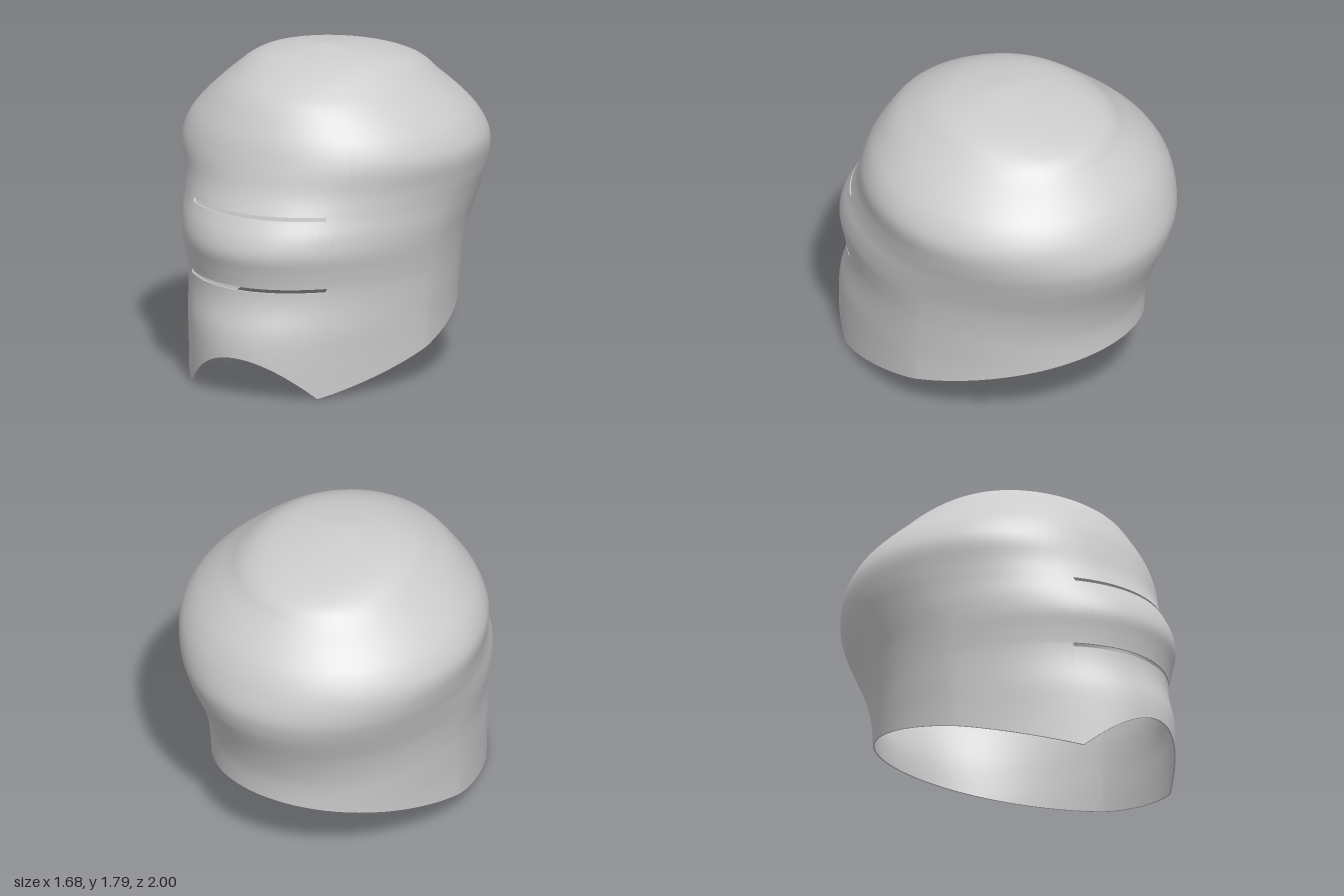
import * as THREE from 'three';

const WALL = 0.01;
// Cross-sections from crown to hem: y, half width, front z, back z, front taper
const SECTIONS = [
  [1.79, 0, 0, 0, 1],
  [1.77, 0.2, 0.17, -0.17, 1],
  [1.745, 0.335, 0.3, -0.315, 1],
  [1.705, 0.436, 0.415, -0.48, 1],
  [1.65, 0.51, 0.52, -0.62, 1],
  [1.58, 0.59, 0.61, -0.695, 1],
  [1.48, 0.7, 0.68, -0.805, 1],
  [1.38, 0.787, 0.735, -0.895, 1],
  [1.26, 0.838, 0.778, -0.96, 1.03],
  [1.12, 0.818, 0.823, -1, 1.1],
  [1.0, 0.79, 0.885, -0.98, 1.14],
  [0.9, 0.77, 0.943, -0.94, 1.16],
  [0.8, 0.75, 0.97, -0.895, 1.18],
  [0.7, 0.733, 0.948, -0.857, 1.2],
  [0.6, 0.72, 0.93, -0.83, 1.22],
  [0.5, 0.712, 0.942, -0.82, 1.26],
  [0.36, 0.703, 0.985, -0.82, 1.33],
  [0.23, 0.7, 1, -0.82, 1.4],
  [0, 0.7, 1, -0.82, 1.44],
];
// Eye and mouth slits: top, bottom, half width
const SLITS = [[1.019, 0.998, 0.42], [0.618, 0.597, 0.43]];
const CORNER_Z = 0.775;

// Smooth interpolation of the cross-sections at a height
function sectionAt(y) {
  const last = SECTIONS.length - 1;
  let k = 0;
  while (k < last - 1 && SECTIONS[k + 1][0] > y) k++;
  const slope = (i, c) => {
    const a = SECTIONS[Math.max(i - 1, 0)], b = SECTIONS[Math.min(i + 1, last)];
    return (b[c] - a[c]) / (b[0] - a[0]);
  };
  const A = SECTIONS[k], B = SECTIONS[k + 1], h = B[0] - A[0];
  const t = (y - A[0]) / h, t2 = t * t, t3 = t2 * t;
  return [1, 2, 3, 4].map((c) =>
    (2 * t3 - 3 * t2 + 1) * A[c] + (t3 - 2 * t2 + t) * h * slope(k, c) +
    (3 * t2 - 2 * t3) * B[c] + (t3 - t2) * h * slope(k + 1, c));
}

// Point on the shell; angle 0 is the front
function shellPoint(angle, y) {
  const [w, zf, zb, taper] = sectionAt(y);
  const mid = (zf + zb) / 2, depth = (zf - zb) / 2, c = Math.cos(angle);
  return [w * Math.sin(angle), y, mid + depth * (c > 0 ? c ** taper : c)];
}

// Slanted hem: rises to the nape and to the chin from the two lower corners
function hemY(angle) {
  let y = 0.2;
  for (let i = 0; i < 40; i++) {
    const z = shellPoint(angle, y)[2] - CORNER_Z;
    y = Math.max(0, z < 0 ? -z * 0.282 : z * 1.022);
  }
  return y;
}

function makeAngles() {
  const angles = [];
  for (let i = 0; i < 128; i++) angles.push(-Math.PI + (i * 2 * Math.PI) / 128);
  // extra columns at the slit ends and hem corners
  const [, zf, zb, taper] = sectionAt(0);
  const special = [Math.acos(((CORNER_Z - (zf + zb) / 2) / ((zf - zb) / 2)) ** (1 / taper))];
  for (const [top, , half] of SLITS) special.push(Math.asin(half / sectionAt(top)[0]));
  for (const a of special) angles.push(a, -a);
  return angles.sort((a, b) => a - b);
}

function makeHeights() {
  const heights = [];
  for (let k = 0; k < SECTIONS.length - 1; k++) {
    for (let s = 0; s < 4; s++) {
      const y = SECTIONS[k][0] + (SECTIONS[k + 1][0] - SECTIONS[k][0]) * (s / 4);
      const nearSlit = SLITS.some(([t, b]) => y < t + 0.006 && y > b - 0.006);
      if (y < 1.789 && y > SLITS[1][1] && !nearSlit) heights.push(y);
    }
  }
  for (const [t, b] of SLITS) heights.push(t, b);
  return heights.sort((a, b) => b - a);
}

function geometryFrom(positions, index) {
  const g = new THREE.BufferGeometry();
  g.setAttribute('position', new THREE.Float32BufferAttribute(positions, 3));
  if (index) g.setIndex(index);
  g.computeVertexNormals();
  return g;
}

export function createModel() {
  const group = new THREE.Group();
  group.name = 'helmet';
  const steel = new THREE.MeshStandardMaterial({ color: 0xcccccc });
  steel.name = 'pale grey';

  const angles = makeAngles(), n = angles.length;
  const hems = angles.map(hemY);
  const heights = makeHeights(), lowest = heights[heights.length - 1];
  const HEM_ROWS = 14, rows = heights.length + HEM_ROWS;
  const rowY = (i, j) => i < heights.length ? heights[i]
    : lowest + (hems[j] - lowest) * ((i - heights.length + 1) / HEM_ROWS);

  // Outer skin, with the slits left open
  const points = [0, SECTIONS[0][0], 0], faces = [];
  const id = (i, j) => 1 + i * n + (j % n);
  const inSlit = (i, j) => i + 1 < heights.length && SLITS.some(([t, b, half]) => {
    const a = (angles[j] + (angles[j + 1] ?? Math.PI)) / 2;
    return heights[i] === t && heights[i + 1] === b && Math.cos(a) > 0 &&
      Math.abs(a) < Math.asin(half / sectionAt(t)[0]);
  });
  for (let i = 0; i < rows; i++) {
    for (let j = 0; j < n; j++) {
      points.push(...shellPoint(angles[j], rowY(i, j)));
      if (i === 0) faces.push(0, id(0, j), id(0, j + 1));
      if (i + 1 < rows && !inSlit(i, j)) {
        const a = id(i, j), b = id(i + 1, j), c = id(i + 1, j + 1), d = id(i, j + 1);
        faces.push(a, b, c, a, c, d);
      }
    }
  }
  const outer = geometryFrom(points, faces);

  // Lining: the skin moved inwards and turned over
  const normals = outer.attributes.normal.array;
  const innerPoints = points.map((v, k) => v - normals[k] * (k % 3 === 1 ? 0 : WALL));
  const flipped = [];
  for (let f = 0; f < faces.length; f += 3) flipped.push(faces[f], faces[f + 2], faces[f + 1]);
  innerPoints[1] -= WALL;
  const inner = geometryFrom(innerPoints, flipped);

  // Rim: closes the wall along the hem and around the slits
  const edges = new Map();
  for (let f = 0; f < faces.length; f += 3) {
    for (let e = 0; e < 3; e++) {
      const u = faces[f + e], v = faces[f + ((e + 1) % 3)];
      if (!edges.delete(v + '_' + u)) edges.set(u + '_' + v, [u, v]);
    }
  }
  const rim = [];
  const at = (list, k) => list.slice(k * 3, k * 3 + 3);
  for (const [u, v] of edges.values()) {
    const a = at(points, v), b = at(points, u), c = at(innerPoints, u), d = at(innerPoints, v);
    rim.push(...a, ...b, ...c, ...a, ...c, ...d);
  }

  const parts = { outerShell: outer, innerLining: inner, hemAndSlitEdges: geometryFrom(rim) };
  for (const [name, geometry] of Object.entries(parts)) {
    const mesh = new THREE.Mesh(geometry, steel);
    mesh.name = name;
    group.add(mesh);
  }
  return group;
}
